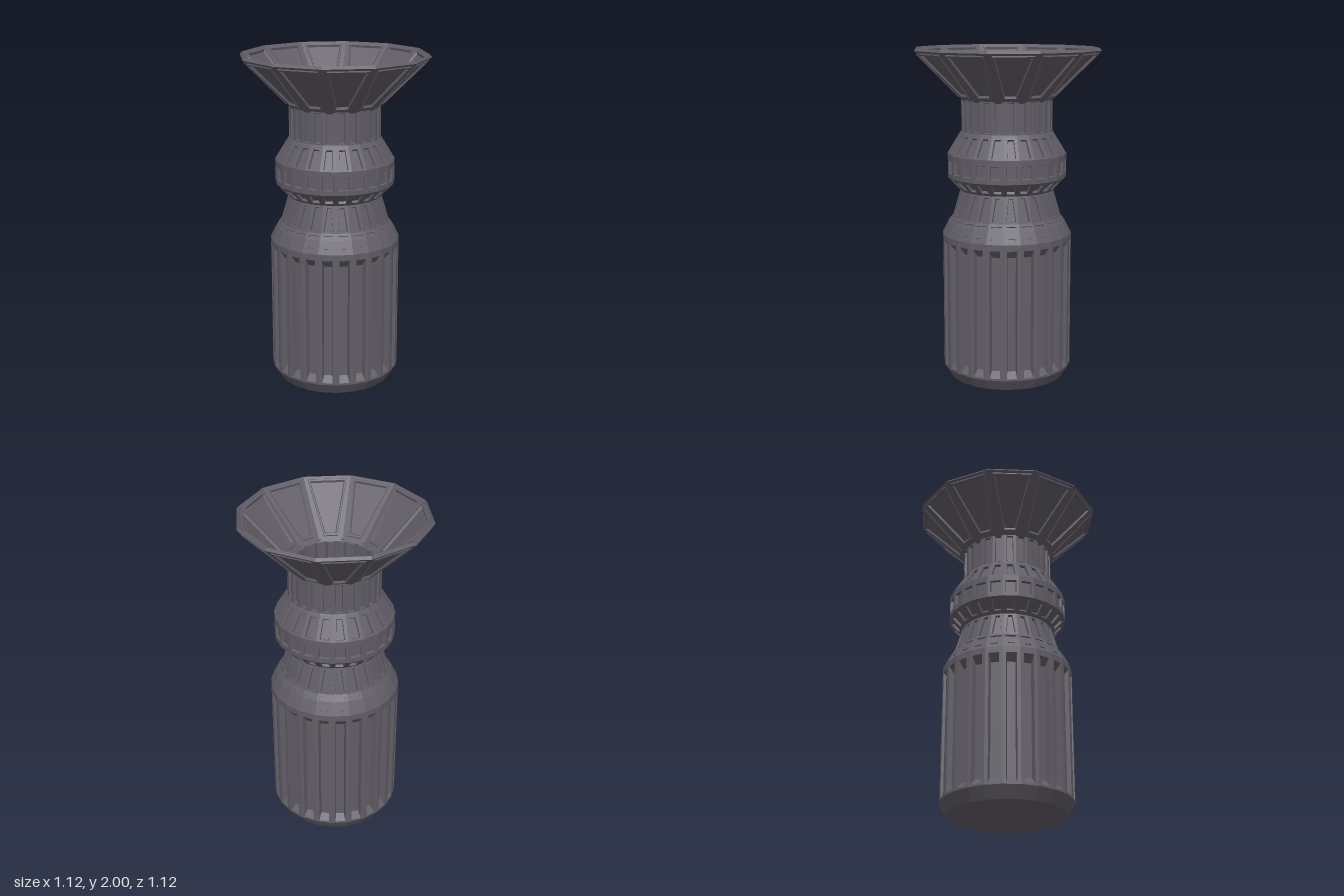
import * as THREE from 'three';

const metal = new THREE.MeshStandardMaterial({ color: 0x625e68 });
metal.name = 'darkMetal';

// Faceted ring from (r0,y0) to (r1,y1). Each facet carries nested four-cornered loops
// [bottomHalfWidth, topHalfWidth, vBottom, vTop, depth]: widths are fractions of the
// facet, depth is measured into the surface (negative = raised).
function panelRing(name, r0, y0, r1, y1, loops = [], { n = 24, phase = 0, inside = false } = {}) {
  const pos = [];
  const quad = (a, b, c, d) => {
    const order = inside ? [a, c, b, a, d, c] : [a, b, c, a, c, d];
    for (const p of order) pos.push(p.x, p.y, p.z);
  };
  const at = (r, y, a) => new THREE.Vector3(r * Math.sin(a), y, r * Math.cos(a));
  for (let i = 0; i < n; i++) {
    const a0 = phase + (i / n) * Math.PI * 2;
    const a1 = phase + ((i + 1) / n) * Math.PI * 2;
    const bl = at(r0, y0, a0), br = at(r0, y0, a1);
    const tl = at(r1, y1, a0), tr = at(r1, y1, a1);
    const normal = br.clone().sub(bl).cross(tl.clone().sub(bl)).normalize();
    if (inside) normal.negate();
    const point = (u, v, depth) => bl.clone().lerp(br, u)
      .lerp(tl.clone().lerp(tr, u), v).addScaledVector(normal, -depth);
    const corners = ([wb, wt, v0, v1, d]) => [
      point(0.5 - wb, v0, d), point(0.5 + wb, v0, d),
      point(0.5 + wt, v1, d), point(0.5 - wt, v1, d),
    ];
    let outer = [bl, br, tr, tl];
    for (const loop of loops) {
      const inner = corners(loop);
      for (let k = 0; k < 4; k++) {
        const m = (k + 1) % 4;
        quad(outer[k], outer[m], inner[m], inner[k]);
      }
      outer = inner;
    }
    quad(...outer);
  }
  const geometry = new THREE.BufferGeometry();
  geometry.setAttribute('position', new THREE.Float32BufferAttribute(pos, 3));
  geometry.computeVertexNormals();
  const mesh = new THREE.Mesh(geometry, metal);
  mesh.name = name;
  return mesh;
}

function disc(name, radius, y, facing) {
  const geometry = new THREE.CircleGeometry(radius, 24);
  geometry.rotateX(-facing * Math.PI / 2);
  geometry.translate(0, y, 0);
  const mesh = new THREE.Mesh(geometry, metal);
  mesh.name = name;
  return mesh;
}

export function createModel() {
  const model = new THREE.Group();
  model.name = 'flutedPedestal';

  // Fluted base
  model.add(
    disc('underside', 0.345, 0, -1),
    panelRing('baseBevel', 0.345, 0, 0.39, 0.07),
    panelRing('flutedBody', 0.39, 0.07, 0.39, 0.89, [
      [0.3, 0.3, 0.015, 0.955, 0],
      [0.24, 0.24, 0.06, 0.9, 0.035],
    ]),
    panelRing('shoulder', 0.39, 0.89, 0.352, 0.965, [
      [0.2, 0.2, 0.3, 0.42, 0], [0.2, 0.2, 0.3, 0.42, 0.006],
    ]),
    panelRing('shoulderLip', 0.352, 0.965, 0.325, 1.0, [
      [0.34, 0.34, 0.25, 0.6, 0], [0.34, 0.34, 0.25, 0.6, 0.008],
    ]),
  );

  // Tapered neck with slots narrowing upward
  model.add(panelRing('neck', 0.325, 1.0, 0.28, 1.155, [
    [0.34, 0.17, 0.06, 0.92, 0], [0.3, 0.14, 0.08, 0.9, 0.014],
  ]));

  // Bulge with three rows of windows
  model.add(
    panelRing('bulgeLower', 0.28, 1.155, 0.357, 1.235, [
      [0.3, 0.3, 0.2, 0.82, 0], [0.27, 0.27, 0.23, 0.79, 0.015],
    ]),
    panelRing('bulgeMiddle', 0.357, 1.235, 0.357, 1.375, [
      [0.34, 0.34, 0.2, 0.74, 0], [0.3, 0.3, 0.23, 0.71, 0.015],
    ]),
    panelRing('bulgeUpper', 0.357, 1.375, 0.28, 1.5, [
      [0.28, 0.24, 0.08, 0.88, 0], [0.25, 0.21, 0.1, 0.86, 0.015],
    ]),
  );

  // Hollow collar: slots outside show as ribs inside
  model.add(
    panelRing('collarStep', 0.28, 1.5, 0.273, 1.51),
    panelRing('collar', 0.273, 1.51, 0.273, 1.715, [
      [0.28, 0.28, 0.03, 0.9, 0], [0.25, 0.25, 0.05, 0.88, 0.014],
    ]),
    panelRing('collarTop', 0.273, 1.715, 0.266, 1.715),
    panelRing('collarInside', 0.266, 1.52, 0.266, 1.715, [
      [0.36, 0.36, 0.01, 0.95, 0], [0.27, 0.27, 0.02, 0.93, -0.022],
    ], { inside: true }),
    disc('collarFloor', 0.268, 1.52, 1),
  );

  // Twelve-sided funnel with framed panels on both faces
  const twelve = { n: 12, phase: THREE.MathUtils.degToRad(7) };
  const frame = [
    [0.27, 0.42, 0.08, 0.96, 0],
    [0.26, 0.41, 0.09, 0.95, -0.006],
    [0.22, 0.385, 0.12, 0.925, -0.006],
    [0.19, 0.365, 0.14, 0.905, 0.006],
  ];
  model.add(
    panelRing('funnelOutside', 0.27, 1.69, 0.563, 1.985, frame, twelve),
    panelRing('funnelRim', 0.563, 1.985, 0.55, 2.0, [], twelve),
    panelRing('funnelInside', 0.26, 1.705, 0.55, 2.0, frame, { ...twelve, inside: true }),
  );

  return model;
}
